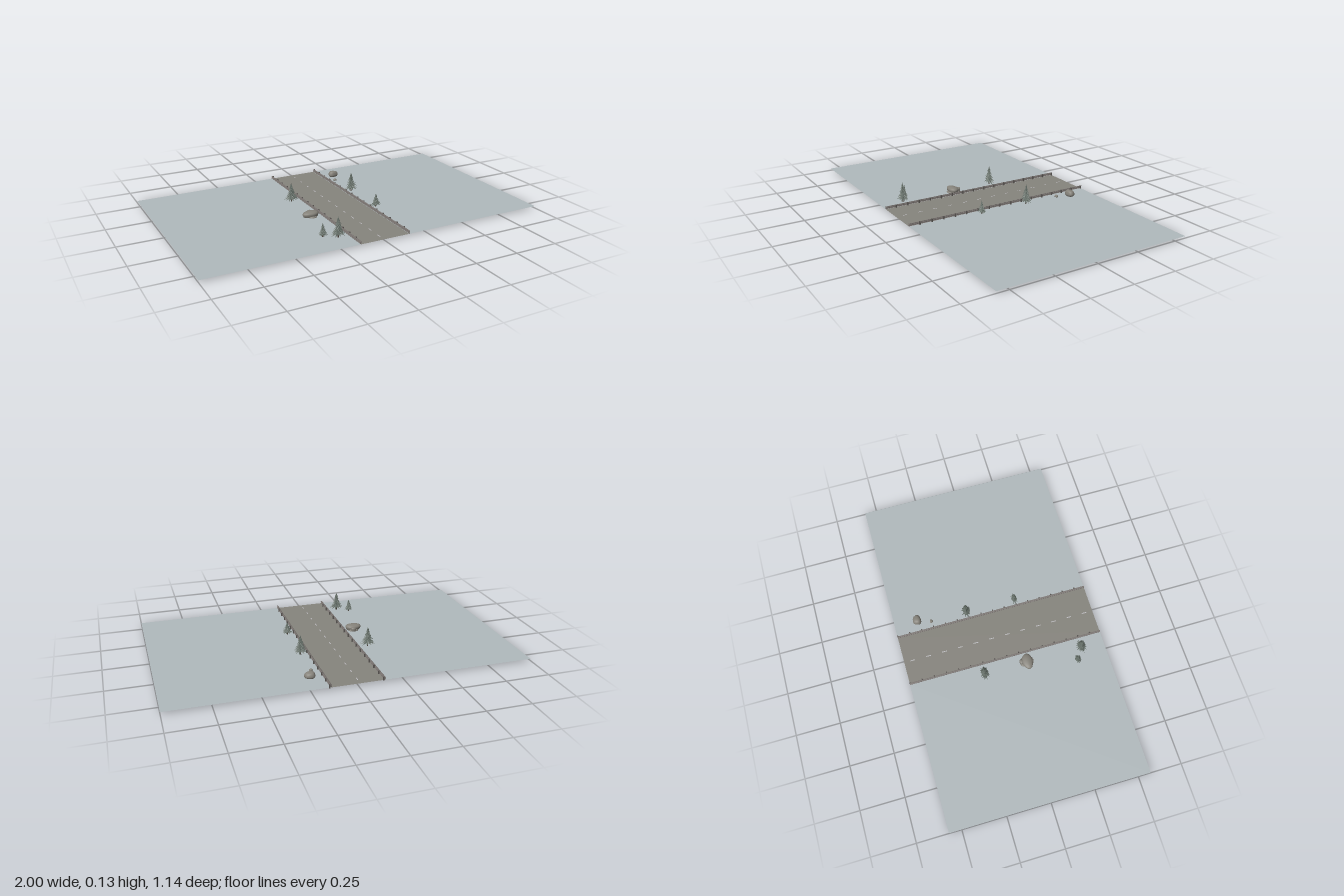
import * as THREE from 'three';
import { mergeGeometries, mergeVertices } from 'three/addons/utils/BufferGeometryUtils.js';

const GROUND = 0.012, LENGTH = 1.14;

function seeded(seed) {
  return () => (seed = (seed * 16807) % 2147483647) / 2147483647;
}

const mat = (name, color, options = {}) => {
  const m = new THREE.MeshStandardMaterial({ color, ...options });
  m.name = name;
  return m;
};

// Conifer crown: stacked cones with ragged, drooping rims
function crownGeometry(height, rx, rz, tiers, seed) {
  const rand = seeded(seed), parts = [], sides = 18;
  for (let i = 0; i < tiers; i++) {
    const t = i / tiers;
    const r = 1 - t * 0.92;
    const h = height * (0.2 - 0.06 * t);
    const base = height * (0.13 + t * 0.75);
    const g = new THREE.ConeGeometry(1, h, sides, 1, true);
    g.translate(0, h / 2, 0);
    g.rotateY(i * 1.1);
    const scales = Array.from({ length: sides }, (_, k) => (k % 2 ? 0.42 : 0.75 + rand() * 0.3));
    const p = g.attributes.position;
    for (let k = 0; k < p.count; k++) {
      if (p.getY(k) > h / 2) continue;
      const s = scales[k % (sides + 1) % sides] * r;
      const droop = k % (sides + 1) % 2 ? 0.3 * h : -0.1 * h;
      p.setXYZ(k, p.getX(k) * s * rx, base + droop, p.getZ(k) * s * rz);
    }
    for (let k = 0; k <= sides; k++) p.setXYZ(k, 0, Math.min(base + h, height), 0);
    parts.push(g);
  }
  const merged = mergeGeometries(parts);
  merged.computeVertexNormals();
  return merged;
}

// Weathered rock: rounded body pushed in and out by smooth waves
function rockGeometry(rx, ry, rz, phase) {
  let g = new THREE.IcosahedronGeometry(1, 4);
  g.deleteAttribute('uv');
  g.deleteAttribute('normal');
  g = mergeVertices(g);
  const p = g.attributes.position, v = new THREE.Vector3();
  for (let i = 0; i < p.count; i++) {
    v.fromBufferAttribute(p, i);
    const wave = 0.05 * Math.sin(3 * v.x + phase) + 0.05 * Math.sin(4 * v.z + 2 * phase) + 0.03 * Math.sin(5 * v.y - phase);
    // Squarer than a sphere
    const box = Math.pow(v.x ** 4 + v.y ** 4 + v.z ** 4, -0.1);
    v.multiplyScalar(box * 0.92 * (1 + wave));
    p.setXYZ(i, v.x * rx, v.y * ry, v.z * rz);
  }
  g.computeVertexNormals();
  return g;
}

export function createModel() {
  const model = new THREE.Group();
  const snow = mat('pale ground', 0xb0b9bc, { side: THREE.DoubleSide });
  const asphalt = mat('asphalt', 0x86847d, { side: THREE.DoubleSide });
  const paint = mat('line paint', 0xc0c0c4, { side: THREE.DoubleSide });
  const steel = mat('rail steel', 0x77716e);
  const post = mat('post steel', 0x5c5855);
  const needles = mat('needles', 0x667069, { side: THREE.DoubleSide, flatShading: true });
  const bark = mat('bark', 0x4e453d);
  const stone = mat('stone', 0x85827a);

  const add = (name, geometry, material, x = 0, y = 0, z = 0, parent = model) => {
    const mesh = new THREE.Mesh(geometry, material);
    mesh.name = name;
    mesh.position.set(x, y, z);
    parent.add(mesh);
    return mesh;
  };
  const sheet = (w, d) => new THREE.PlaneGeometry(w, d).rotateX(-Math.PI / 2);

  // Ground on both sides, with the road between
  for (const s of [-1, 1]) add(s > 0 ? 'leftGround' : 'rightGround', sheet(0.855, LENGTH), snow, s * 0.5725, GROUND, 0);
  add('road', sheet(0.29, LENGTH), asphalt, 0, GROUND, 0);
  for (let i = 0; i < 12; i++) {
    add('laneDash', sheet(0.005, 0.028), paint, -0.01, GROUND + 0.001, -0.52 + i * 0.0945);
  }

  // Guard rails: corrugated beam on regular posts
  const profile = new THREE.Shape();
  const section = [[0, 0.014], [-0.004, 0.016], [-0.004, 0.018], [0, 0.02], [0, 0.022],
    [-0.004, 0.024], [-0.004, 0.026], [0, 0.028]];
  section.forEach(([x, y], i) => (i ? profile.lineTo(x, y) : profile.moveTo(x, y)));
  [...section].reverse().forEach(([x, y]) => profile.lineTo(x + 0.004, y));
  const beam = new THREE.ExtrudeGeometry(profile, { depth: LENGTH, bevelEnabled: false });
  beam.translate(0, 0, -LENGTH / 2);
  const postGeometry = new THREE.BoxGeometry(0.007, 0.022, 0.006);
  for (const x of [-0.146, 0.146]) {
    const rail = new THREE.Group();
    rail.name = x > 0 ? 'leftGuardRail' : 'rightGuardRail';
    rail.position.x = x;
    model.add(rail);
    add('railBeam', beam, steel, 0, 0, 0, rail);
    for (let i = 0; i < 16; i++) add('railPost', postGeometry, post, 0.0065, 0.019, 0.508 - i * 0.0717, rail);
  }

  // Conifers: x, z, height, half width in x and z
  const trees = [
    [-0.205, -0.145, 0.122, 0.046, 0.032],
    [0.19, -0.145, 0.122, 0.046, 0.032],
    [-0.205, 0.435, 0.122, 0.046, 0.032],
    [-0.273, 0.393, 0.082, 0.033, 0.022],
    [0.19, 0.148, 0.082, 0.038, 0.022],
  ];
  trees.forEach(([x, z, h, rx, rz], i) => {
    const tree = new THREE.Group();
    tree.name = 'conifer';
    tree.position.set(x, GROUND - 0.002, z);
    model.add(tree);
    add('crown', crownGeometry(h, rx, rz, 11, 17 + i * 101), needles, 0, 0, 0, tree);
    add('trunk', new THREE.CylinderGeometry(0.001, 0.004, h * 0.9, 8), bark, 0, h * 0.45, 0, tree);
  });

  // Rocks: name, centre, half sizes, wave phase
  const rocks = [
    ['wideRock', -0.207, 0.024, 0.11, 0.05, 0.021, 0.033, 0.6],
    ['rockBase', -0.2, 0.011, 0.107, 0.034, 0.011, 0.042, 2.1],
    ['rockKnob', -0.198, 0.022, 0.078, 0.017, 0.014, 0.014, 1.2],
    ['boulder', 0.22, 0.027, -0.436, 0.031, 0.021, 0.026, 3.3],
    ['pebble', 0.192, 0.016, -0.357, 0.011, 0.008, 0.01, 4.4],
  ];
  for (const [name, x, y, z, rx, ry, rz, phase] of rocks) add(name, rockGeometry(rx, ry, rz, phase), stone, x, y, z);

  return model;
}
